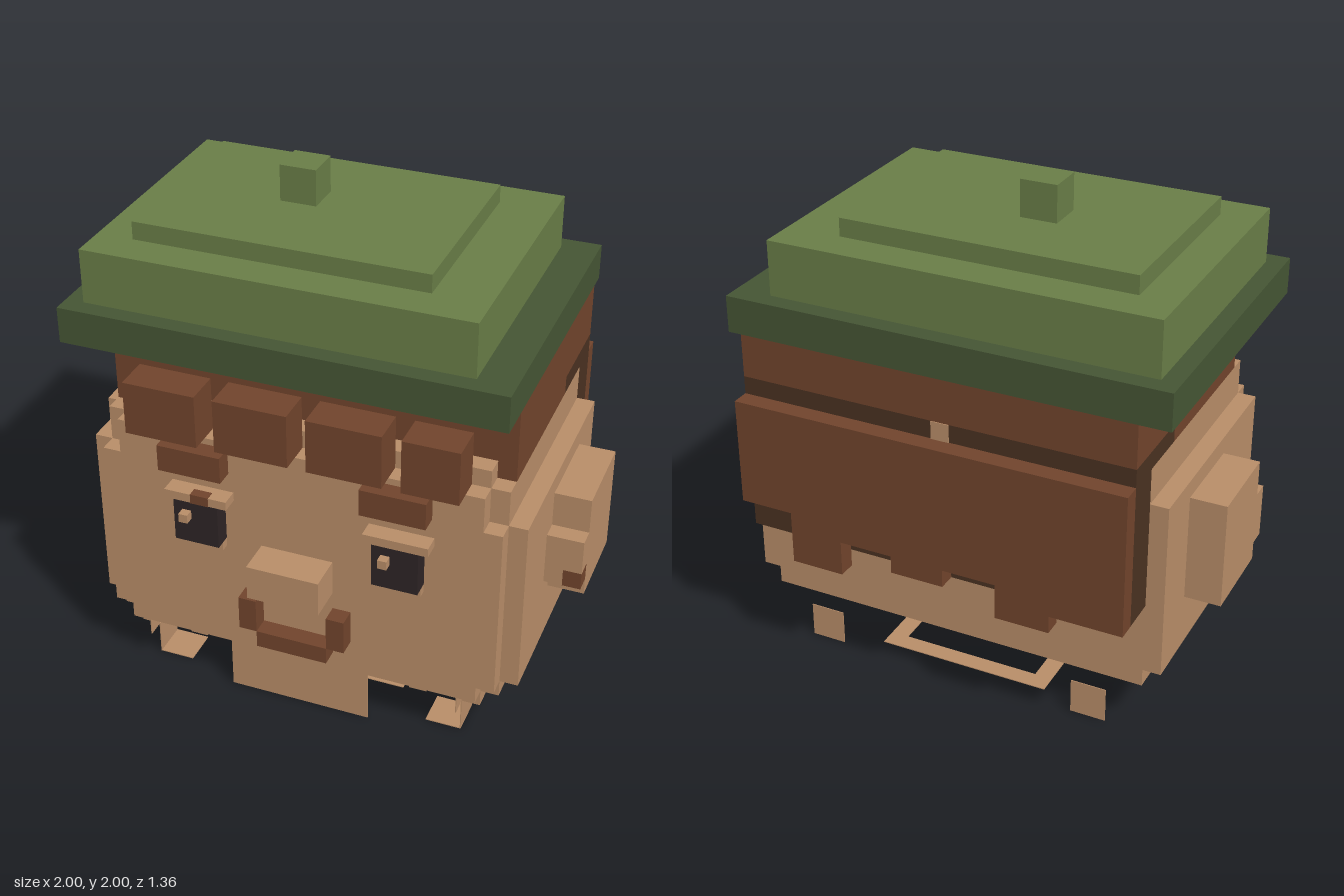
import * as THREE from 'three';

const U = 1 / 14; // one block

const material = (name, color) => {
  const m = new THREE.MeshStandardMaterial({ color, side: THREE.DoubleSide });
  m.name = name;
  return m;
};

export function createModel() {
  const skin = material('skin', 0xb88d68);
  const hair = material('hair brown', 0x71442c);
  const shade = material('hair dark brown', 0x4a3121);
  const green = material('cap green', 0x697d47);
  const band = material('cap dark green', 0x455534);
  const black = material('eye black', 0x2d2425);

  const model = new THREE.Group();
  model.name = 'blockHead';
  const part = (name) => {
    const g = new THREE.Group();
    g.name = name;
    model.add(g);
    return g;
  };

  // Box between block coordinates; `omit` lists faces left open (+x -x +y -y +z -z = 0..5)
  const box = (parent, name, mat, [x0, x1], [y0, y1], [z0, z1], omit = []) => {
    const geo = new THREE.BoxGeometry((x1 - x0) * U, (y1 - y0) * U, (z1 - z0) * U);
    const index = Array.from(geo.index.array);
    geo.setIndex(index.filter((v, i) => !omit.includes(Math.floor(i / 6))));
    geo.clearGroups();
    const mesh = new THREE.Mesh(geo, mat);
    mesh.name = name;
    mesh.position.set((x0 + x1) / 2 * U, (y0 + y1) / 2 * U, (z0 + z1) / 2 * U);
    parent.add(mesh);
    return mesh;
  };
  // Range mirrored to the given side
  const side = (s, a, b) => (s > 0 ? [a, b] : [-b, -a]);
  const T = 0.05; // thin plate, in blocks

  // Head: a hollow shell, open underneath
  const head = part('head');
  box(head, 'skull', skin, [-11, 11], [3, 16], [-6.5, 6.5], [3, 4]);
  box(head, 'face', skin, [-10, 10], [3, 16], [6.5, 7.5], [3, 5]);
  box(head, 'forehead', skin, [-10, 10], [16, 17], [5.5, 6.5], [3]);
  for (const s of [1, -1]) {
    const inner = s > 0 ? 1 : 0;
    box(head, 'faceEdge', skin, side(s, 10, 11), [4, 14], [6.5, 7.5], [inner, 5]);
    box(head, 'templeStep', skin, side(s, 10, 11), [14, 16], [6.5 - T, 6.5]);
    box(head, 'jawStep', skin, side(s, 10, 11), [3, 4], [6.5 - T, 6.5]);
    box(head, 'cheek', skin, side(s, 11, 12), [4, 14], [-6.5, 6.5], [inner]);
    box(head, 'jawRim', skin, side(s, 10, 11), [3, 3 + T], [-6.5, 6.5]);
  }

  // Ears
  for (const s of [1, -1]) {
    const ear = part(s > 0 ? 'leftEar' : 'rightEar');
    box(ear, 'earBack', skin, side(s, 12, 14), [7, 13], [-3.5, 1.5]);
    if (s > 0) {
      box(ear, 'earFront', skin, [12, 14], [9, 11], [1.5, 2.5]);
      box(ear, 'earLobe', skin, [12, 13], [8, 9], [1.5, 2.5]);
      box(ear, 'earStud', hair, [13, 14], [8, 9], [1.5, 2.5]);
    } else {
      box(ear, 'earFront', skin, [-14, -12], [8, 11], [1.5, 2.5]);
    }
  }

  // Neck: front plate and open base frame
  const neck = part('neck');
  box(neck, 'neckFront', skin, [-4, 4], [0, 3], [7.5 - T, 7.5]);
  for (const [z0, z1] of [[-5.5, -4.5], [3.5, 4.5]]) {
    box(neck, 'neckFrame', skin, [-5, 5], [0, T], [z0, z1]);
  }
  for (const s of [1, -1]) {
    box(neck, 'neckFrame', skin, side(s, 4, 5), [0, T], [-4.5, 3.5]);
  }

  // Loose plates hanging below the jaw
  const jaw = part('jawPlates');
  for (const s of [1, -1]) {
    box(jaw, 'hangingSide', skin, side(s, 9 - T, 9), [0, 2], [4.5, 6.5]);
    box(jaw, 'hangingBase', skin, side(s, 7, 9), [0, T], [4.5, 6.5]);
    box(jaw, 'hangingBack', skin, side(s, 7, 9), [0, 2], [-6.5, -6.5 + T]);
    box(jaw, 'jawTabInner', skin, side(s, 6, 7), [2, 3], [6.5 - T, 6.5]);
    box(jaw, 'jawTabOuter', skin, side(s, 9, 10), [2, 3], [6.5 - T, 6.5]);
    box(jaw, 'jawTabSide', skin, side(s, 10 - T, 10), [2, 3], [4.5, 6.5]);
    box(jaw, 'jawTabFront', skin, side(s, 9 - T, 9), [2, 3], [6.5, 7.5]);
  }

  // Face features; the two eyes are the same, shifted
  const face = part('faceFeatures');
  for (const x of [-7, 4]) {
    const e = x + 0.5;
    box(face, 'eye', black, [e, e + 2.5], [10, 12.5], [7.5, 8.5]);
    box(face, 'eyeGlint', skin, [e + 0.5, e + 1], [11.5, 12], [8.5, 9]);
    box(face, 'upperLid', skin, [x, x + 3.5], [12.5, 13], [7.5, 8.5]);
    box(face, 'lowerLid', skin, [e, e + 2.5], [9.5, 10], [7.5, 8]);
    box(face, 'eyebrow', hair, [x, x + 3.5], [14.5, 16], [8, 9]);
  }
  box(face, 'lidMark', hair, [-5.5, -4.5], [12.5, 13 + T], [8, 8.5 + T]);
  box(face, 'nose', skin, [-2, 2], [8, 10], [7.5, 9.5]);
  box(face, 'mouth', hair, [-2, 2], [4, 5], [7.5, 8.5]);
  for (const s of [1, -1]) {
    box(face, 'mouthCorner', hair, side(s, 2, 3), [5, 7], [7.5, 8.5]);
  }

  // Hair: crown, fringe, dark under layer and ragged back panel
  const hairGroup = part('hair');
  box(hairGroup, 'crownFront', hair, [-11, 11], [16, 20], [-3.5, 5.5], [3, 5]);
  box(hairGroup, 'crownBack', hair, [-11, 11], [17, 20], [-8.5, -3.5], [3, 4]);
  box(hairGroup, 'underLayerTop', shade, [-11, 11], [16, 17], [-8.5, -3.5], [3, 4]);
  box(hairGroup, 'underLayerBack', shade, [-11, 11], [8, 16], [-8.5, -6.5]);
  box(hairGroup, 'napeSpot', skin, [-1, 0], [16, 17], [-8.5 - T, -8.5]);
  for (const [x0, x1] of [[-9, -5], [-4, 0], [1, 5], [6, 9]]) {
    box(hairGroup, 'fringe', hair, [x0, x1], [16, 19], [6.5, 8.5]);
  }
  const strands = [[8, 11, 10], [5, 8, 7], [2, 5, 9], [-1, 2, 8], [-4, -1, 9], [-7, -4, 7], [-11, -7, 8]];
  for (const [x0, x1, y0] of strands) {
    box(hairGroup, 'backStrand', hair, [x0, x1], [y0, 16], [-9.5, -8.5]);
  }

  // Cap, set slightly to one side
  const cap = part('cap');
  box(cap, 'capBand', band, [-13, 11], [20, 22], [-9.5, 7.5]);
  box(cap, 'capBody', green, [-12, 9], [22, 25], [-8.5, 6.5]);
  box(cap, 'capTop', green, [-10, 6], [25, 26], [-6.5, 4.5]);
  box(cap, 'capStem', green, [-4, -2], [26, 28], [-2.5, -0.5]);

  return model;
}
